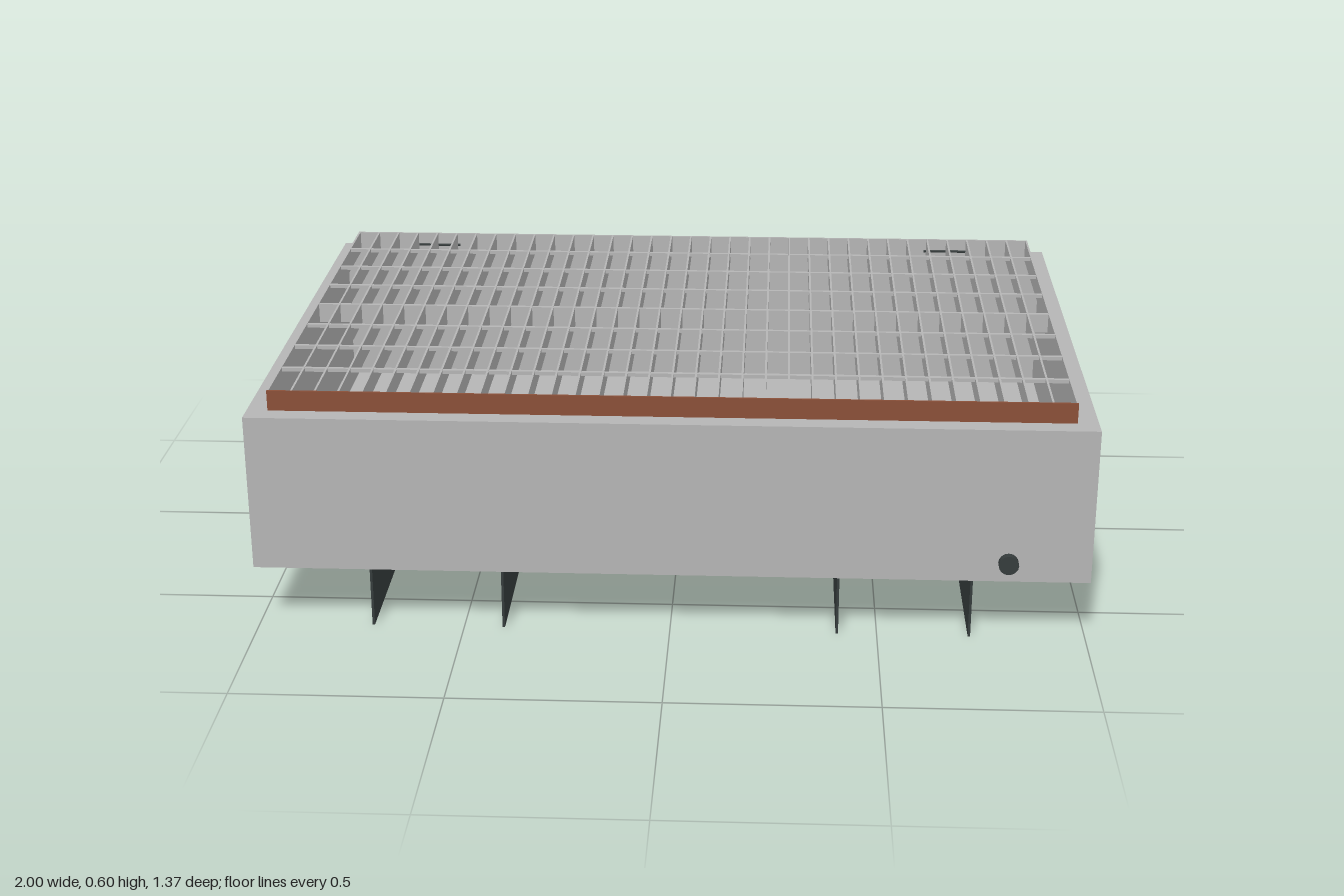
import * as THREE from 'three';

export function createModel() {
  const model = new THREE.Group();
  model.name = 'sumpPallet';
  const mat = (name, color) => {
    const m = new THREE.MeshStandardMaterial({ color });
    m.name = name;
    return m;
  };
  const steel = mat('galvanizedSteel', 0xb5b5b5);
  const dark = mat('darkSteel', 0x353c3c);
  const brown = mat('brownPaint', 0x8a4f38);

  // Box given by its minimum and maximum on each axis
  function box(parent, name, material, [x0, x1], [y0, y1], [z0, z1]) {
    const mesh = new THREE.Mesh(new THREE.BoxGeometry(x1 - x0, y1 - y0, z1 - z0), material);
    mesh.position.set((x0 + x1) / 2, (y0 + y1) / 2, (z0 + z1) / 2);
    mesh.name = name;
    parent.add(mesh);
    return mesh;
  }
  function group(name) {
    const g = new THREE.Group();
    g.name = name;
    model.add(g);
    return g;
  }

  // Sheet-steel tray, open under the grating
  const T = 0.006, Y0 = 0.163, Y1 = 0.55, ZB = -0.685, ZF = 0.67;
  const tray = group('tray');
  box(tray, 'floor', steel, [-1, 1], [Y0, Y0 + T], [ZB, ZF]);
  box(tray, 'frontWall', steel, [-1, 1], [Y0 + T, Y1 - T], [ZF - T, ZF]);
  box(tray, 'backWall', steel, [-1, 1], [Y0 + T, Y1 - T], [ZB, ZB + T]);
  for (const s of [-1, 1]) {
    const x = s * (1 - T / 2);
    box(tray, s > 0 ? 'leftWall' : 'rightWall', steel,
      [x - T / 2, x + T / 2], [Y0 + T, Y1 - T], [ZB + T, ZF - T]);
  }

  // Inward flange around the tray's top
  const rim = new THREE.Shape([[-1, -ZF], [1, -ZF], [1, -ZB], [-1, -ZB]]
    .map(([x, y]) => new THREE.Vector2(x, y)));
  rim.holes.push(new THREE.Path([[-0.945, -0.615], [-0.945, 0.63], [0.945, 0.63], [0.945, -0.615]]
    .map(([x, y]) => new THREE.Vector2(x, y))));
  const flange = new THREE.Mesh(
    new THREE.ExtrudeGeometry(rim, { depth: T, bevelEnabled: false }), steel);
  flange.rotation.x = -Math.PI / 2;
  flange.position.y = Y1 - T;
  flange.name = 'rimFlange';
  tray.add(flange);

  // Grating: bearing bars run front to back
  const grating = group('grating');
  const GB = -0.636, GF = 0.622, TOP = 0.6, GX = 0.95, B = 0.005, count = 35;
  for (let i = 0; i < count; i++) {
    const x = -GX + B / 2 + i * (2 * GX - B) / (count - 1);
    box(grating, 'bearingBar', steel, [x - B / 2, x + B / 2], [Y1, TOP], [GB + B, GF - B]);
  }
  box(grating, 'backBar', steel, [-GX, GX], [Y1, TOP], [GB, GB + B]);
  box(grating, 'frontBar', brown, [-GX, GX], [Y1, TOP], [GF - B, GF]);

  // Cross rods flush with the top, with a full-height bar in the middle
  for (let i = -3; i <= 3; i++) {
    const z = -0.01 + i * 0.157;
    const bottom = i === 0 ? Y1 : TOP - 0.01;
    box(grating, i === 0 ? 'middleBar' : 'crossRod', steel,
      [-GX + B, GX - B], [bottom, TOP - 0.001], [z - 0.005, z + 0.005]);
  }

  // Hinges and fork channels, mirrored left and right
  for (const s of [-1, 1]) {
    const side = s > 0 ? 'left' : 'right';
    const hinge = new THREE.Mesh(new THREE.CylinderGeometry(0.012, 0.012, 0.13, 12), dark);
    hinge.rotation.z = Math.PI / 2;
    hinge.position.set(s * 0.725, 0.566, -0.642);
    hinge.name = side + 'Hinge';
    model.add(hinge);

    const channel = group(side + 'ForkChannel');
    const c = s * 0.563, half = 0.162, t = 0.006, z = [-0.653, 0.64];
    box(channel, 'channelTop', dark, [c - half, c + half], [Y0 - t, Y0], z);
    box(channel, 'channelWall', dark, [c - half, c - half + t], [0, Y0 - t], z);
    box(channel, 'channelWall', dark, [c + half - t, c + half], [0, Y0 - t], z);
  }

  // Drain plug low on the front
  const plug = new THREE.Mesh(new THREE.CylinderGeometry(0.024, 0.024, 0.025, 16), dark);
  plug.rotation.x = Math.PI / 2;
  plug.position.set(0.803, 0.212, 0.675);
  plug.name = 'drainPlug';
  model.add(plug);

  return model;
}
